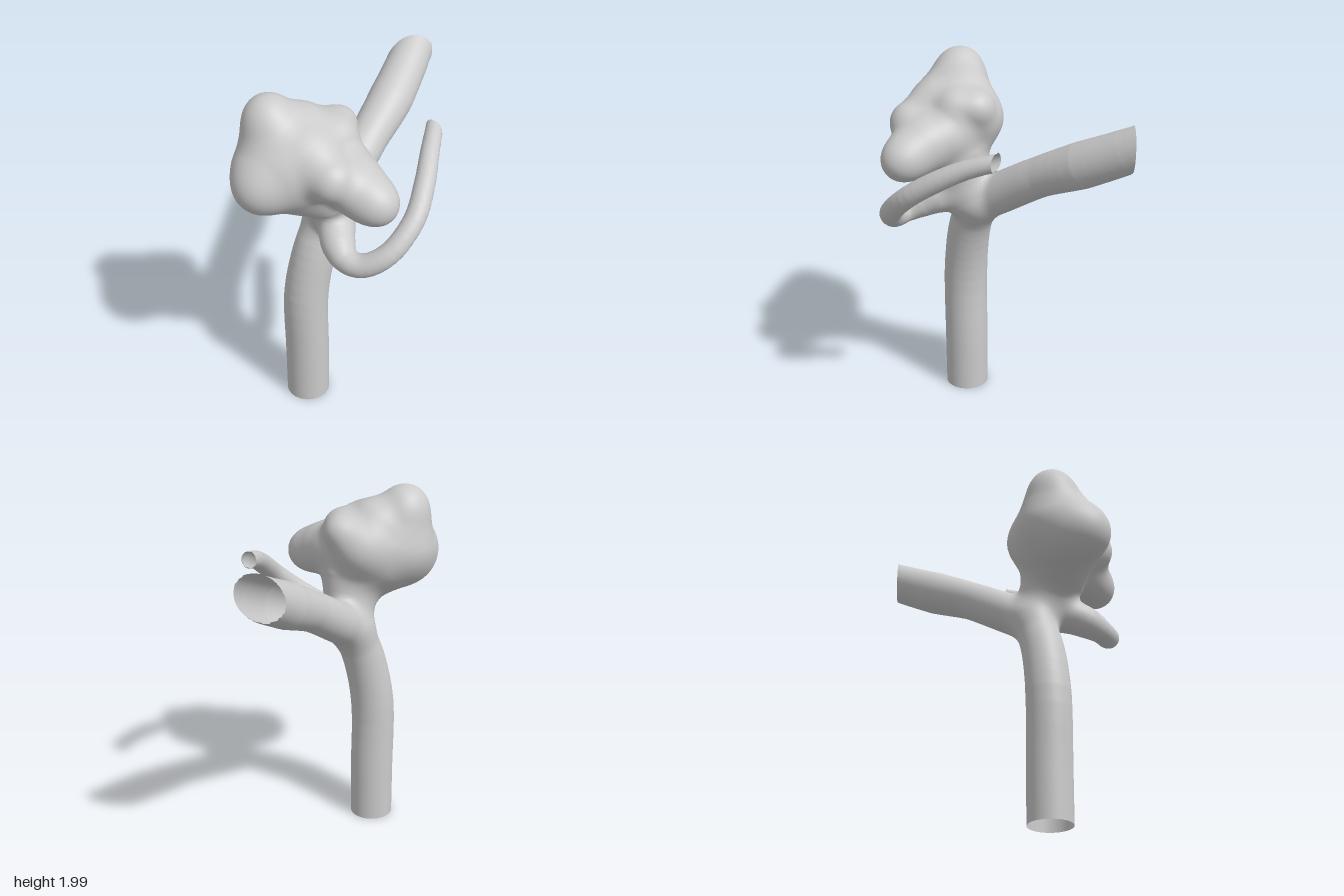
import * as THREE from 'three';

// Each path point is [x, y, z, radius]; vessels run past their cut planes.
const PARTS = {
  trunkVessel: [[-0.18, -0.2, 0.21, 0.12], [-0.18, 0.3, 0.21, 0.122], [-0.18, 0.72, 0.21, 0.122],
    [-0.13, 1.0, 0.188, 0.117], [-0.06, 1.2, 0.145, 0.112]],
  rearBranch: [[-0.06, 1.2, 0.145, 0.112], [0.035, 1.305, 0, 0.112], [0.178, 1.452, -0.2, 0.108],
    [0.31, 1.567, -0.4, 0.122], [0.422, 1.683, -0.61, 0.114], [0.505, 1.785, -0.78, 0.1]],
  curledBranch: [[-0.02, 1.28, 0.2, 0.1], [-0.02, 1.265, 0.34, 0.098], [-0.015, 1.23, 0.44, 0.088],
    [0.02, 1.195, 0.525, 0.067],
    [0.1, 1.195, 0.575, 0.062], [0.23, 1.275, 0.585, 0.058], [0.36, 1.41, 0.49, 0.056],
    [0.42, 1.515, 0.35, 0.055], [0.463, 1.605, 0.18, 0.05], [0.5, 1.655, 0.03, 0.045], [0.515, 1.67, -0.04, 0.045]],
};

// Lobes of the bulging sac, and its neck
const LOBES = [
  [-0.2, 1.65, 0.27, 0.255], [-0.335, 1.61, 0.315, 0.21], [-0.4, 1.58, 0.41, 0.128],
  [-0.34, 1.66, 0.2, 0.14], [-0.2, 1.49, 0.3, 0.122],
  [-0.33, 1.8, 0.24, 0.155], [-0.35, 1.88, 0.23, 0.11], [-0.18, 1.79, 0.2, 0.122],
  [0.0, 1.765, 0.14, 0.095], [-0.01, 1.76, 0.25, 0.1], [-0.1, 1.68, 0.14, 0.14],
  [-0.05, 1.665, 0.48, 0.118], [-0.12, 1.72, 0.37, 0.12], [0.02, 1.62, 0.29, 0.13],
  [0.06, 1.6, 0.39, 0.135], [0.1, 1.565, 0.46, 0.135], [0.17, 1.54, 0.52, 0.112],
];
const NECK = [[-0.03, 1.25, 0.16, 0.115], [-0.07, 1.46, 0.25, 0.18]];

// Planes where the vessels are cut open: point, outward normal, reach
const CUTS = [
  [[-0.18, 0, 0.21], [0, -1, 0], 0.4],
  [[0.45, 1.71, -0.64], [0, 0, -1], 0.4],
  [[0.495, 1.66, 0.035], [0.55, 0, -0.835], 0.2],
].map(([p, n, reach]) => ({ p: new THREE.Vector3(...p), n: new THREE.Vector3(...n).normalize(), reach }));

function samplePath(points) {
  const curve = new THREE.CatmullRomCurve3(points.map(p => new THREE.Vector3(p[0], p[1], p[2])));
  const spans = points.length - 1, out = [];
  for (let i = 0; i <= spans * 4; i++) {
    const u = i / 4, a = Math.min(Math.floor(u), spans - 1);
    const radius = THREE.MathUtils.lerp(points[a][3], points[a + 1][3], u - a);
    out.push([...curve.getPoint(u / spans).toArray(), radius]);
  }
  return out;
}

// Distance to a chain of tapered segments
function chainDistance(chain, x, y, z) {
  let best = Infinity;
  for (let i = 0; i < chain.length - 1; i++) {
    const a = chain[i], b = chain[i + 1];
    const dx = b[0] - a[0], dy = b[1] - a[1], dz = b[2] - a[2];
    const px = x - a[0], py = y - a[1], pz = z - a[2];
    const t = Math.min(1, Math.max(0, (px * dx + py * dy + pz * dz) / (dx * dx + dy * dy + dz * dz)));
    const qx = px - dx * t, qy = py - dy * t, qz = pz - dz * t;
    best = Math.min(best, Math.sqrt(qx * qx + qy * qy + qz * qz) - a[3] - (b[3] - a[3]) * t);
  }
  return best;
}

function blend(a, b, k) {
  const h = Math.max(k - Math.abs(a - b), 0) / k;
  return Math.min(a, b) - h * h * k / 4;
}

function sacDistance(x, y, z) {
  let d = chainDistance(NECK, x, y, z);
  for (const [cx, cy, cz, r] of LOBES) {
    const dx = x - cx, dy = y - cy, dz = z - cz;
    d = blend(d, Math.sqrt(dx * dx + dy * dy + dz * dz) - r, 0.07);
  }
  return d;
}

const fields = Object.entries(PARTS).map(([name, points]) => {
  const chain = samplePath(points);
  return { name, distance: (x, y, z) => chainDistance(chain, x, y, z) };
});
fields.push({ name: 'sac', distance: sacDistance });

function surface(x, y, z) {
  let d = 10;
  for (const f of fields) d = blend(d, f.distance(x, y, z), 0.06);
  return d;
}

function gradient(p) {
  const e = 0.008;
  return new THREE.Vector3(
    surface(p.x + e, p.y, p.z) - surface(p.x - e, p.y, p.z),
    surface(p.x, p.y + e, p.z) - surface(p.x, p.y - e, p.z),
    surface(p.x, p.y, p.z + e) - surface(p.x, p.y, p.z - e)).normalize();
}

export function createModel() {
  // Sample the blended shape on a grid
  const step = 0.02, origin = [-0.62, -0.07, -0.72], size = [63, 108, 73];
  const stride = [1, size[0], size[0] * size[1]];
  const values = new Float32Array(size[0] * size[1] * size[2]);
  const forGrid = (from, visit) => {
    for (let k = from; k < size[2] - 1; k++)
      for (let j = from; j < size[1] - 1; j++)
        for (let i = from; i < size[0] - 1; i++) visit(i, j, k, i + j * stride[1] + k * stride[2]);
  };
  values.fill(1);
  forGrid(0, (i, j, k, id) => {
    values[id] = surface(origin[0] + i * step, origin[1] + j * step, origin[2] + k * step);
  });

  // One vertex per crossed cell, pulled onto the surface and trimmed at the cuts
  const vertexOf = new Int32Array(values.length).fill(-1);
  const positions = [], normals = [], beyond = [];
  forGrid(0, (i, j, k, id) => {
    let inside = 0;
    for (let c = 0; c < 8; c++)
      if (values[id + (c & 1) + (c >> 1 & 1) * stride[1] + (c >> 2) * stride[2]] < 0) inside++;
    if (inside === 0 || inside === 8) return;
    const p = new THREE.Vector3(i + 0.5, j + 0.5, k + 0.5).multiplyScalar(step);
    p.add(new THREE.Vector3(...origin));
    for (let n = 0; n < 3; n++) p.addScaledVector(gradient(p), -surface(p.x, p.y, p.z));
    const normal = gradient(p);
    let outside = false;
    for (const cut of CUTS) {
      const over = p.clone().sub(cut.p).dot(cut.n);
      if (over > 0 && p.distanceTo(cut.p) < cut.reach) {
        p.addScaledVector(cut.n, -over);
        outside = true;
      }
    }
    vertexOf[id] = beyond.length;
    positions.push(p.x, p.y, p.z);
    normals.push(normal.x, normal.y, normal.z);
    beyond.push(outside);
  });

  // Join the four cells around every crossed edge, sorted by nearest part
  const indices = fields.map(() => []);
  forGrid(1, (i, j, k, id) => {
    for (let axis = 0; axis < 3; axis++) {
      const start = values[id] < 0, end = values[id + stride[axis]] < 0;
      if (start === end) continue;
      const u = stride[(axis + 1) % 3], v = stride[(axis + 2) % 3];
      const quad = [id - u - v, id - v, id, id - u].map(c => vertexOf[c]);
      if (quad.some(q => q < 0) || quad.every(q => beyond[q])) continue;
      if (!start) quad.reverse();
      const at = positions.slice(quad[0] * 3, quad[0] * 3 + 3);
      const distances = fields.map(f => f.distance(...at));
      const [a, b, c, d] = quad;
      indices[distances.indexOf(Math.min(...distances))].push(a, b, c, a, c, d);
    }
  });

  const group = new THREE.Group();
  group.name = 'branchingVessel';
  const material = new THREE.MeshStandardMaterial({ color: 0xcccccc, side: THREE.DoubleSide });
  const position = new THREE.Float32BufferAttribute(positions, 3);
  const normal = new THREE.Float32BufferAttribute(normals, 3);
  fields.forEach((field, n) => {
    const geometry = new THREE.BufferGeometry();
    geometry.setAttribute('position', position);
    geometry.setAttribute('normal', normal);
    geometry.setIndex(indices[n]);
    const mesh = new THREE.Mesh(geometry, material);
    mesh.name = field.name;
    group.add(mesh);
  });
  return group;
}
